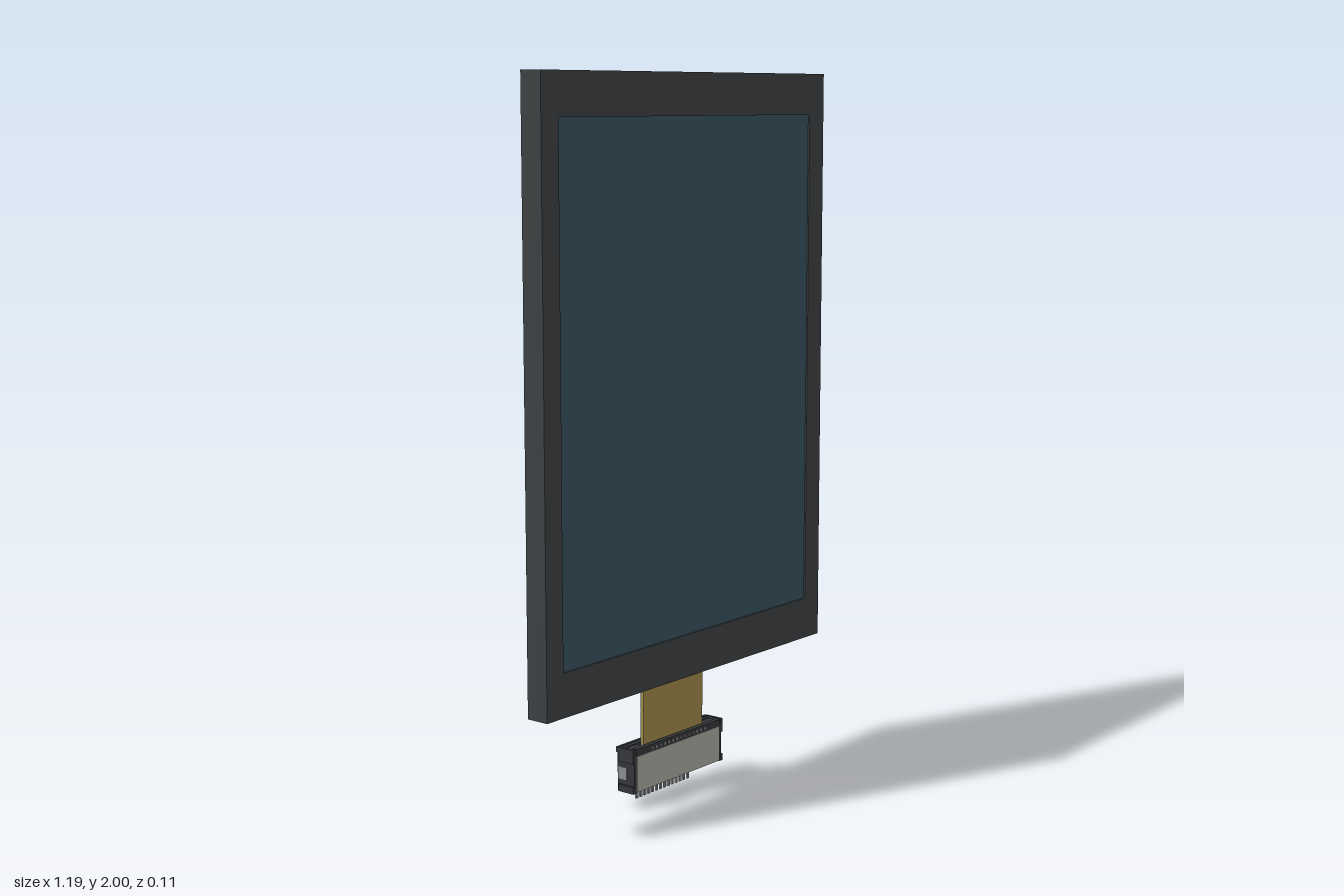
import * as THREE from 'three';

const mat = (color) => new THREE.MeshStandardMaterial({ color });
const DARK = mat(0x3c4042), SCREEN = mat(0x36505e), GOLD = mat(0xa08848), BLUE = mat(0x5b78a3);
const BLACK = mat(0x35373a), PALE = mat(0xa9a9a2), METAL = mat(0x8a8c8e);

// Box given by its two extreme corners
function box(parent, name, material, [x0, y0, z0], [x1, y1, z1]) {
  const mesh = new THREE.Mesh(new THREE.BoxGeometry(x1 - x0, y1 - y0, z1 - z0), material);
  mesh.position.set((x0 + x1) / 2, (y0 + y1) / 2, (z0 + z1) / 2);
  mesh.name = name;
  parent.add(mesh);
  return mesh;
}

const rectangle = (Type, x0, y0, x1, y1) => new Type([
  new THREE.Vector2(x0, y0), new THREE.Vector2(x1, y0),
  new THREE.Vector2(x1, y1), new THREE.Vector2(x0, y1),
]);

function createPanel() {
  const panel = new THREE.Group();
  panel.name = 'displayPanel';
  box(panel, 'panelBody', DARK, [-0.597, 0.35, -0.011], [0.597, 2, 0.048]);

  // Bezel around the slightly sunken screen
  const outline = rectangle(THREE.Shape, -0.597, 0.35, 0.597, 2);
  outline.holes.push(rectangle(THREE.Path, -0.533, 0.47, 0.53, 1.885));
  const bezel = new THREE.Mesh(new THREE.ExtrudeGeometry(outline, { depth: 0.008, bevelEnabled: false }), DARK);
  bezel.position.z = 0.048;
  bezel.name = 'bezel';
  panel.add(bezel);
  box(panel, 'screen', SCREEN, [-0.533, 0.47, 0.046], [0.53, 1.885, 0.051]);
  return panel;
}

function createCable() {
  const cable = new THREE.Group();
  cable.name = 'flexCable';
  box(cable, 'cableFilm', GOLD, [-0.13, 0.07, -0.023], [0.13, 0.35, -0.014]);
  // Backing film in two strips with a fine seam
  box(cable, 'upperBacking', BLUE, [-0.127, 0.262, -0.028], [0.127, 0.349, -0.023]);
  box(cable, 'lowerBacking', BLUE, [-0.127, 0.07, -0.028], [0.127, 0.26, -0.023]);
  return cable;
}

function createConnector() {
  const connector = new THREE.Group();
  connector.name = 'connector';

  // Housing: floor, front and back walls around the cable slot
  box(connector, 'housingFloor', BLACK, [-0.185, 0.046, -0.053], [0.185, 0.075, 0.004]);
  box(connector, 'housingBack', BLACK, [-0.185, 0.07, -0.055], [0.185, 0.168, -0.036]);
  box(connector, 'housingFront', BLACK, [-0.185, 0.07, -0.008], [0.185, 0.152, 0.004]);
  box(connector, 'backLip', BLACK, [-0.197, 0.155, -0.057], [0.197, 0.17, -0.049]);

  // Pale front cover with a hinged latch bar above it
  box(connector, 'frontCover', PALE, [-0.183, 0.048, 0.003], [0.183, 0.15, 0.008]);
  box(connector, 'latchBar', BLACK, [-0.185, 0.15, -0.008], [0.185, 0.17, 0.006]);
  for (let i = 0; i < 14; i++) {
    const x = -0.117 + i * 0.018;
    box(connector, 'latchTooth', METAL, [x - 0.003, 0.155, 0.005], [x + 0.003, 0.163, 0.0075]);
  }

  // Stepped end blocks with metal mounting tabs
  for (const side of [-1, 1]) {
    const end = new THREE.Group();
    end.name = side > 0 ? 'leftEnd' : 'rightEnd';
    const part = (name, m, x0, x1, y0, y1, z0, z1) =>
      box(end, name, m, [side > 0 ? x0 : -x1, y0, z0], [side > 0 ? x1 : -x0, y1, z1]);
    part('endBlock', BLACK, 0.135, 0.187, 0.07, 0.165, -0.04, -0.004);
    part('sideWall', BLACK, 0.184, 0.193, 0.045, 0.158, -0.055, 0.005);
    part('upperSideRib', BLACK, 0.19, 0.199, 0.13, 0.17, -0.048, 0.006);
    part('lowerSideRib', BLACK, 0.19, 0.199, 0.045, 0.065, -0.048, 0.006);
    part('mountingTab', METAL, 0.137, 0.187, 0.052, 0.14, -0.0565, -0.053);
    part('sideTab', METAL, 0.19, 0.196, 0.08, 0.115, -0.05, -0.02);
    connector.add(end);
  }

  // Row of solder pins along the back of the bottom edge
  for (let i = 0; i < 14; i++) {
    const x = -0.113 + i * 0.0174;
    box(connector, 'pin', METAL, [x - 0.004, 0, -0.057], [x + 0.004, 0.052, -0.052]);
  }
  return connector;
}

export function createModel() {
  const model = new THREE.Group();
  model.name = 'displayModule';
  model.add(createPanel(), createCable(), createConnector());
  return model;
}
